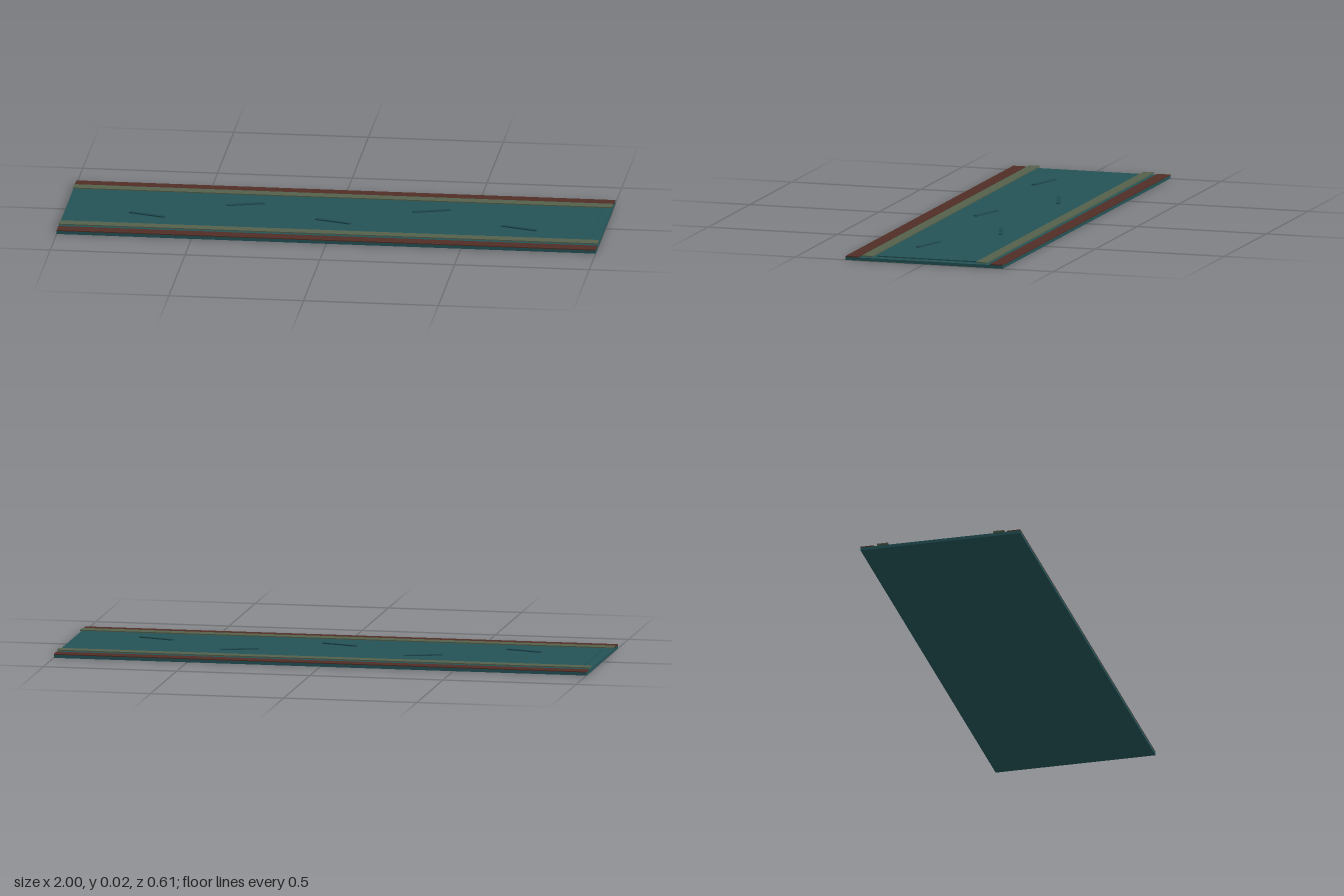
import * as THREE from 'three';

const material = (name, color) => {
  const m = new THREE.MeshStandardMaterial({ color });
  m.name = name;
  return m;
};

export function createModel() {
  const group = new THREE.Group();
  const teal = material('teal', 0x245357);
  const darkTeal = material('dark teal', 0x1f4a4f);
  const brown = material('brown', 0x502e26);
  const olive = material('olive', 0x54614a);

  // Box spanning heights y0 to y1, centred on x and z
  const slab = (name, mat, length, width, y0, y1, x = 0, z = 0) => {
    const mesh = new THREE.Mesh(new THREE.BoxGeometry(length, y1 - y0, width), mat);
    mesh.name = name;
    mesh.position.set(x, (y0 + y1) / 2, z);
    group.add(mesh);
    return mesh;
  };

  // Flat base with a slightly raised, inset centre panel
  slab('base', teal, 2, 0.608, 0, 0.0115);
  slab('centrePanel', teal, 1.93, 0.386, 0.0115, 0.0162);

  // Edge borders and the raised trim strips inside them
  for (const side of [1, -1]) {
    const end = side > 0 ? 'front' : 'back';
    slab(end + 'Border', brown, 2, 0.05, 0.0115, 0.0152, 0, side * 0.279);
    slab(end + 'Trim', olive, 2, 0.042, 0.0164, 0.0202, 0, side * 0.221);
  }

  // Five slanted ribs in a zigzag along the panel
  for (let i = 0; i < 5; i++) {
    const side = i % 2 ? -1 : 1;
    const rib = slab('rib' + (i + 1), darkTeal, 0.14, 0.016, 0.0162, 0.0202, (i - 2) * 0.345, side * 0.084);
    rib.rotation.y = -side * 0.3;
  }
  return group;
}
